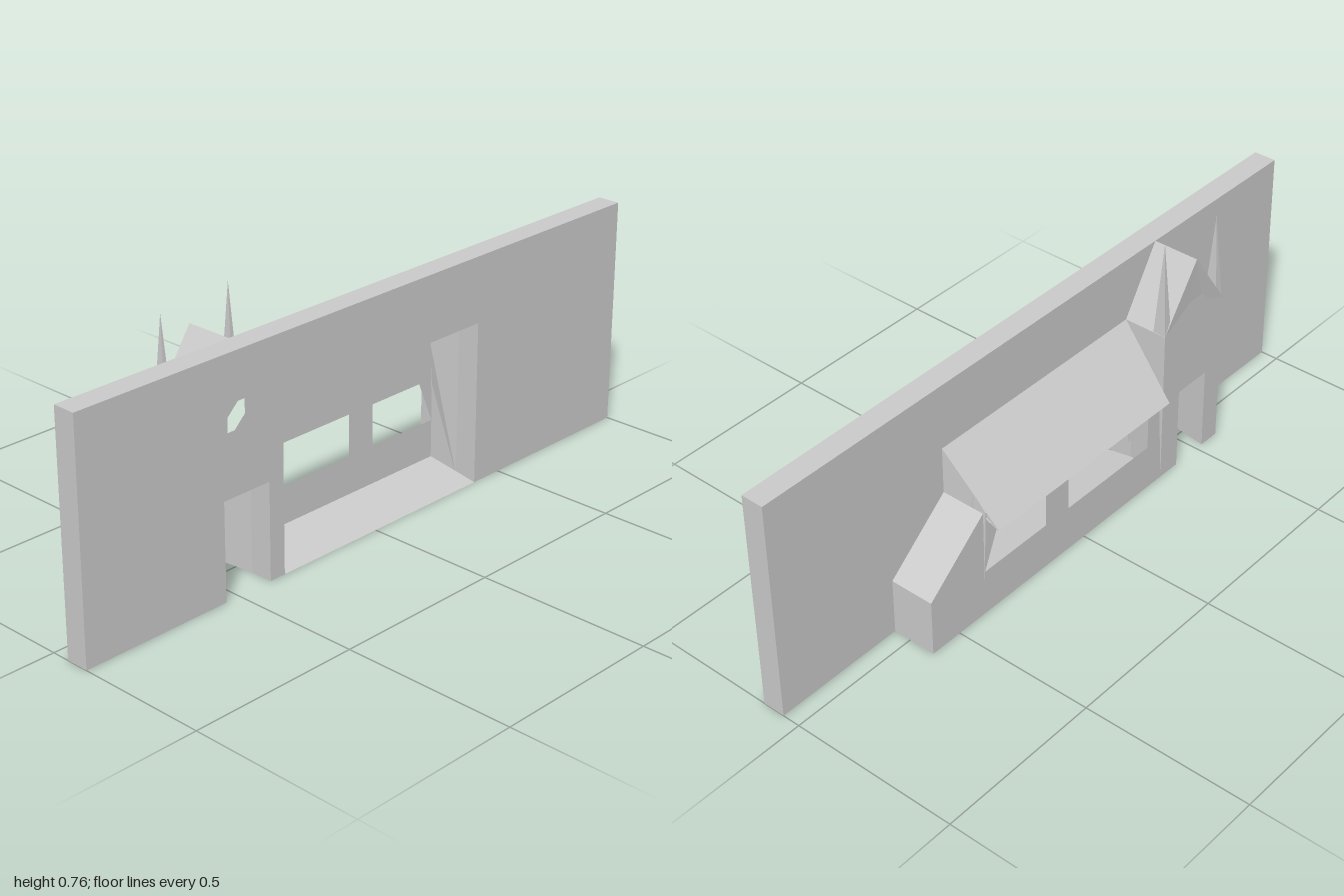
import * as THREE from 'three';

const mat = new THREE.MeshStandardMaterial({ color: 0xcccccc, flatShading: true });
const thin = new THREE.MeshStandardMaterial({ color: 0xcccccc, flatShading: true, side: THREE.DoubleSide });

// Extrude a [z, y] outline with holes from x0 to x1
function extrudeX(outline, holes, x0, x1) {
  const toPts = (a) => a.map(([z, y]) => new THREE.Vector2(-z, y));
  const shape = new THREE.Shape(toPts(outline));
  holes.forEach((h) => shape.holes.push(new THREE.Path(toPts(h))));
  const geo = new THREE.ExtrudeGeometry(shape, { depth: x1 - x0, bevelEnabled: false });
  geo.rotateY(Math.PI / 2);
  geo.translate(x0, 0, 0);
  return geo;
}

// Move vertices by a rule, then refresh the normals
function reshape(geo, rule) {
  const p = geo.attributes.position;
  const v = new THREE.Vector3();
  for (let i = 0; i < p.count; i++) {
    v.fromBufferAttribute(p, i);
    rule(v);
    p.setXYZ(i, v.x, v.y, v.z);
  }
  geo.computeVertexNormals();
  return geo;
}

// Thin convex panel through [x, y, z] corners
function panel(corners) {
  const pos = [];
  for (let i = 1; i < corners.length - 1; i++) pos.push(...corners[0], ...corners[i], ...corners[i + 1]);
  const geo = new THREE.BufferGeometry();
  geo.setAttribute('position', new THREE.Float32BufferAttribute(pos, 3));
  geo.computeVertexNormals();
  return geo;
}

export function createModel() {
  const group = new THREE.Group();
  const add = (name, geo, material = mat) => {
    const mesh = new THREE.Mesh(geo, material);
    mesh.name = name;
    group.add(mesh);
    return mesh;
  };
  const near = (a, b) => Math.abs(a - b) < 0.002;

  // Eight-sided round window shared by the slab and the tower
  const round = [];
  for (let i = 0; i < 8; i++) {
    const a = (i + 0.5) * Math.PI / 4;
    round.push([0.467 + 0.066 * Math.cos(a), 0.475 + 0.063 * Math.sin(a)]);
  }
  const door = [[0.39, 0], [0.39, 0.28], [0.545, 0.28], [0.545, 0]];

  // Long slab with doorway and wide opening; the rear layer has a small pocket
  const slab = [[-1, 0], [-0.4, 0], [-0.4, 0.475], [0.34, 0.475], [0.34, 0],
    ...door, [1, 0], [1, 0.667], [-1, 0.667]];
  const pocket = [[0.64, 0.06], [0.9, 0.06], [0.9, 0.085], [0.84, 0.13], [0.7, 0.13], [0.64, 0.085]];
  add('slabFront', extrudeX(slab, [round], 0.085, 0.12));
  add('slabRear', extrudeX(slab, [round, pocket], 0.053, 0.085));

  // Gabled tower, its doorway narrowing towards the outside
  const tower = [[0.335, 0], ...door, [0.59, 0], [0.59, 0.475], [0.455, 0.667], [0.335, 0.475]];
  add('tower', reshape(extrudeX(tower, [round], -0.08, 0.053), (v) => {
    if (v.x > 0) return;
    if (near(v.z, 0.39)) v.z = 0.407;
    if (near(v.z, 0.545)) v.z = 0.525;
    if (near(v.y, 0.28)) v.y = 0.253;
    if (v.y > 0.6) v.x = -0.087;
  }));

  // Slim spikes at both eaves of the tower
  for (const [z, top] of [[0.348, 0.757], [0.573, 0.735]]) {
    const h = top - 0.475;
    const geo = new THREE.ConeGeometry(Math.SQRT1_2, h, 4, 1);
    geo.rotateY(Math.PI / 4);
    geo.scale(0.04, 1, 0.025);
    geo.computeVertexNormals();
    add('spike', geo).position.set(-0.06, 0.475 + h / 2, z);
  }

  // Low side annex with a sloping top
  add('annex', extrudeX([[-0.6, 0], [-0.4, 0], [-0.4, 0.335], [-0.6, 0.17]], [], -0.08, 0.053));

  // Outer wall of the hall with two windows, its top cut to the roof slope
  const windows = [
    [[0.272, 0.14], [0.272, 0.265], [-0.065, 0.265], [-0.065, 0.14]],
    [[-0.157, 0.14], [-0.157, 0.265], [-0.345, 0.265], [-0.398, 0.14]],
  ];
  const wall = [[-0.405, 0], [0.335, 0], [0.335, 0.33], [-0.405, 0.33]];
  add('windowWall', reshape(extrudeX(wall, windows, -0.08, -0.04), (v) => {
    if (v.y > 0.32) {
      v.z = v.z > 0 ? 0.315 : -0.39;
      if (v.x > -0.05) v.y = 0.375;
    }
  }));

  // Ramped floor inside the hall
  const ramp = new THREE.Shape([[-0.08, 0], [0.12, 0], [-0.04, 0.028], [-0.08, 0.028]].map((p) => new THREE.Vector2(...p)));
  const floor = new THREE.ExtrudeGeometry(ramp, { depth: 0.735, bevelEnabled: false });
  floor.translate(0, 0, -0.4);
  add('floor', floor);

  // Sloping roof, its eave underside, and the end walls that taper inwards
  add('roof', panel([[0.053, 0.475, -0.4], [0.053, 0.475, 0.335], [-0.12, 0.289, 0.312], [-0.12, 0.289, -0.385]]), thin);
  add('eaveUnderside', panel([[-0.12, 0.289, -0.385], [-0.12, 0.289, 0.312], [-0.08, 0.313, 0.318], [-0.08, 0.313, -0.39]]), thin);
  for (const [outer, low, high, eave] of [[0.339, 0.325, 0.315, 0.312], [-0.4, -0.398, -0.388, -0.385]]) {
    add('hallEndWall', panel([[0.053, 0, outer], [0.053, 0.475, outer], [-0.04, 0.375, high], [-0.04, 0.25, low], [-0.04, 0, low]]), thin);
    add('roofEnd', panel([[-0.12, 0.289, eave], [-0.08, 0.313, high], [-0.04, 0.313, high], [-0.04, 0.375, high]]), thin);
  }
  return group;
}
